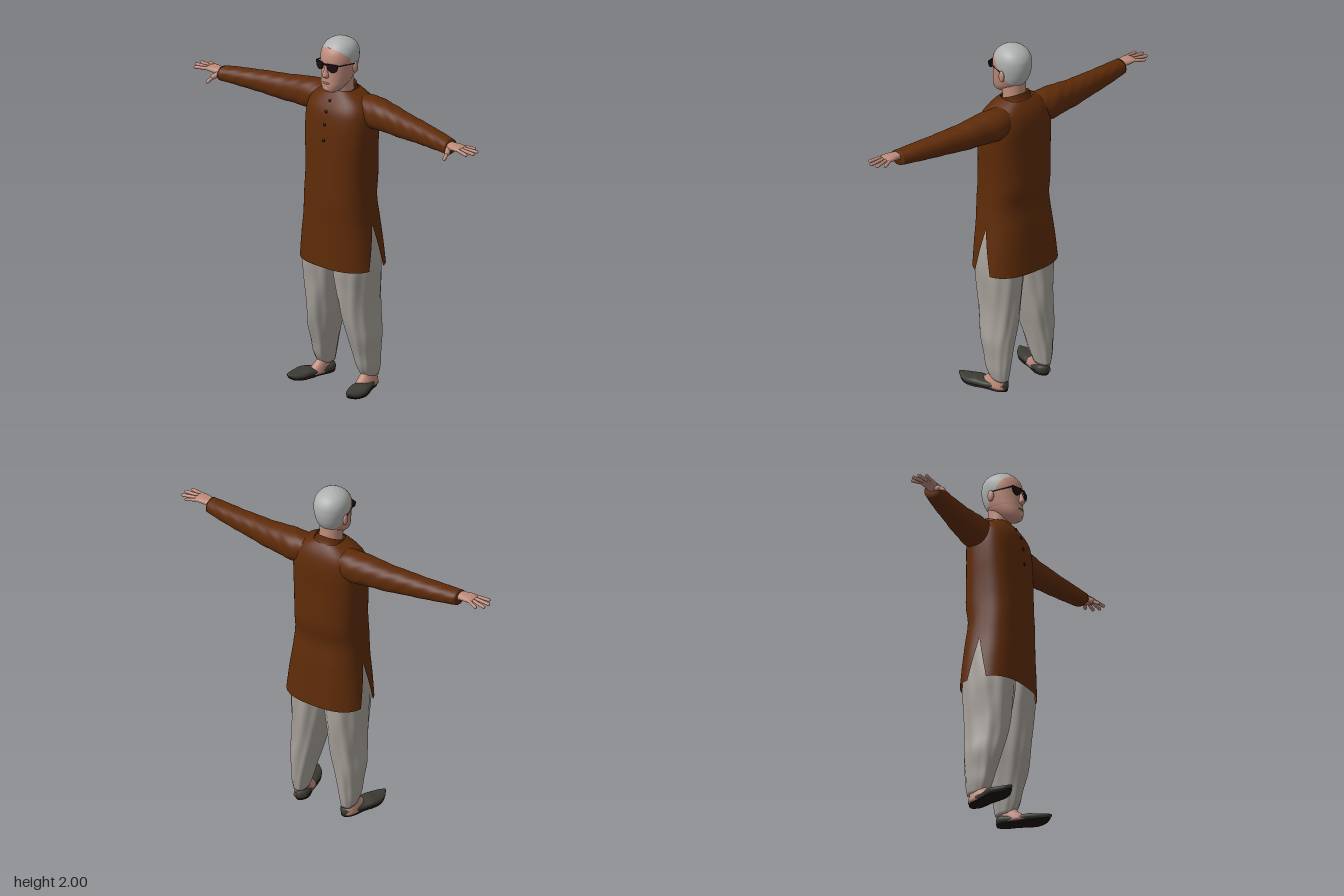
import * as THREE from 'three';
import { mergeGeometries, mergeVertices } from 'three/addons/utils/BufferGeometryUtils.js';

const mat = (name, color, side = THREE.FrontSide) => {
  const m = new THREE.MeshStandardMaterial({ color, side });
  m.name = name;
  return m;
};

// Piecewise linear lookup in [[key, value], ...]
const lin = (tab, k) => {
  if (k <= tab[0][0]) return tab[0][1];
  for (let i = 1; i < tab.length; i++) {
    const [a, va] = tab[i - 1], [b, vb] = tab[i];
    if (k <= b) return va + (vb - va) * (k - a) / (b - a);
  }
  return tab[tab.length - 1][1];
};

// Smooth lookup in rows of [key, x0, x1, zFront, zBack]
const sampler = (tab) => {
  const it = new THREE.CubicInterpolant(tab.map(r => r[0]), new Float32Array(tab.flatMap(r => r.slice(1))), 4);
  return (k) => Array.from(it.evaluate(k));
};
const sym = (tab) => tab.map(([k, w, f, b]) => [k, -w, w, f, b]);

// Rounded cross-sections stacked along y; 'split' keeps only the part in front of or behind a z line
function loft(tab, { n = 2.2, rows = 24, seg = 40, from = tab[0][0], split, back = false, fold, lift, cap = true } = {}) {
  const at = sampler(tab), end = tab[tab.length - 1][0];
  const pos = [], idx = [], ends = [];
  const pw = (v, e) => Math.sign(v) * Math.abs(v) ** e;
  for (let i = 0; i <= rows; i++) {
    const k = from + (end - from) * i / rows;
    const [x0, x1, zf, zb] = at(k);
    const cx = (x0 + x1) / 2, rx = (x1 - x0) / 2, cz = (zf + zb) / 2, rz = (zf - zb) / 2;
    let a = 0, b = Math.PI * 2;
    if (split) {
      const t0 = Math.asin(pw(THREE.MathUtils.clamp((split(k) - cz) / rz, -1, 1), n / 2));
      [a, b] = back ? [Math.PI - t0, Math.PI * 2 + t0] : [t0, Math.PI - t0];
    }
    for (let j = 0; j <= seg; j++) {
      const t = a + (b - a) * j / seg;
      const s = 1 + (fold ? fold(t, k) : 0);
      const z = cz + rz * s * pw(Math.sin(t), 2 / n);
      pos.push(cx + rx * s * pw(Math.cos(t), 2 / n), k + (lift ? lift(z) : 0), z);
    }
    ends.push([cx, k, cz]);
  }
  const w = seg + 1;
  for (let i = 0; i < rows; i++) for (let j = 0; j < seg; j++) {
    const a = i * w + j, b = a + w;
    idx.push(a, b, a + 1, a + 1, b, b + 1);
  }
  if (cap) {
    const c = pos.length / 3, top = rows * w;
    pos.push(...ends[0], ...ends[rows]);
    for (let j = 0; j < seg; j++) idx.push(c, j, j + 1, c + 1, top + j + 1, top + j);
  }
  const g = new THREE.BufferGeometry();
  g.setAttribute('position', new THREE.Float32BufferAttribute(pos, 3));
  g.setIndex(idx);
  return smooth(g);
}
function smooth(g) {
  const m = mergeVertices(g, 1e-5);
  m.computeVertexNormals();
  return m;
}

export function createModel() {
  const model = new THREE.Group();
  model.name = 'standingMan';
  const skin = mat('skin', 0xbd8b7a), hair = mat('hair', 0xadb0ae), brown = mat('brownCloth', 0x5e2b08, THREE.DoubleSide);
  const cloth = mat('greyCloth', 0xa6a099, THREE.DoubleSide), leather = mat('shoeLeather', 0x3b3a33), sole = mat('sole', 0x1c1012);
  const dark = mat('darkGlass', 0x1a0c10), button = mat('button', 0x1d120d), lip = mat('lip', 0x9c6a5e);
  const add = (parent, name, geo, m, x = 0, y = 0, z = 0) => {
    const mesh = new THREE.Mesh(geo, m);
    mesh.name = name;
    mesh.position.set(x, y, z);
    parent.add(mesh);
    return mesh;
  };
  // Rod between two points
  const rod = (parent, name, a, b, r, m) => {
    const p = new THREE.Vector3(...a), d = new THREE.Vector3(...b).sub(p);
    const mesh = add(parent, name, new THREE.CapsuleGeometry(r, d.length(), 4, 10), m);
    mesh.position.copy(p).addScaledVector(d, 0.5);
    mesh.quaternion.setFromUnitVectors(new THREE.Vector3(0, 1, 0), d.normalize());
    return mesh;
  };
  const ball = (parent, name, m, p, s) => add(parent, name, new THREE.SphereGeometry(1, 20, 14), m, ...p).scale.set(...s);

  // Long shirt: front and back halves joined above the side slits
  const shirtRows = sym([[0.71, 0.24, 0.155, -0.19], [0.85, 0.225, 0.155, -0.18], [0.97, 0.208, 0.155, -0.17],
    [1.1, 0.198, 0.156, -0.154], [1.2, 0.195, 0.152, -0.168], [1.32, 0.198, 0.147, -0.165], [1.45, 0.205, 0.14, -0.16],
    [1.55, 0.205, 0.13, -0.158], [1.61, 0.195, 0.115, -0.15], [1.65, 0.17, 0.092, -0.137], [1.68, 0.13, 0.072, -0.12], [1.705, 0.08, 0.05, -0.1]]);
  const shirtOpts = { n: 2.6, rows: 48, cap: false };
  const slit = (z) => (y) => lin([[0.71, z], [0.96, -0.015]], y);
  add(model, 'shirt', smooth(mergeGeometries([
    loft(shirtRows, { ...shirtOpts, split: slit(0.04) }),
    loft(shirtRows, { ...shirtOpts, split: slit(-0.075), back: true })])), brown);
  add(model, 'collar', loft(sym([[1.65, 0.098, 0.07, -0.1], [1.675, 0.084, 0.062, -0.09], [1.708, 0.08, 0.058, -0.082]]),
    { rows: 8, cap: false, lift: z => -0.4 * z }), brown);
  const shirtAt = sampler(shirtRows);
  for (const y of [1.655, 1.6, 1.53, 1.44]) ball(model, 'button', button, [0, y, shirtAt(y)[2] + 0.002], [0.009, 0.009, 0.006]);

  // Neck and head, divided along the hairline
  add(model, 'neck', loft(sym([[1.62, 0.066, 0.035, -0.08], [1.7, 0.062, 0.05, -0.075], [1.8, 0.062, 0.07, -0.07]]), { rows: 8 }), skin);
  const headRows = sym([[1.708, 0.028, 0.105, 0.05], [1.72, 0.046, 0.12, 0.02], [1.745, 0.064, 0.126, -0.02], [1.78, 0.077, 0.124, -0.066],
    [1.82, 0.085, 0.121, -0.092], [1.86, 0.091, 0.119, -0.104], [1.9, 0.095, 0.118, -0.107], [1.94, 0.09, 0.105, -0.099],
    [1.97, 0.072, 0.08, -0.076], [1.987, 0.048, 0.055, -0.047], [1.996, 0.026, 0.034, -0.02], [2, 0.004, 0.012, 0.004]]);
  const hairline = (y) => lin([[1.77, -0.2], [1.785, -0.06], [1.83, -0.02], [1.85, 0.008], [1.9, 0.03], [1.935, 0.065], [1.955, 0.088], [1.965, 0.2]], y);
  const headOpts = { n: 2.15, rows: 56, seg: 48, split: hairline };
  add(model, 'face', loft(headRows, headOpts), skin);
  add(model, 'hair', loft(headRows, { ...headOpts, from: 1.772, back: true }), hair);
  add(model, 'nose', loft(sym([[1.793, 0.01, 0.122, 0.1], [1.803, 0.018, 0.139, 0.1], [1.814, 0.018, 0.144, 0.1],
    [1.835, 0.012, 0.137, 0.1], [1.875, 0.009, 0.122, 0.1]]), { rows: 16, seg: 24 }), skin);
  ball(model, 'lips', lip, [0, 1.766, 0.122], [0.026, 0.006, 0.007]);
  ball(model, 'chin', skin, [0, 1.735, 0.108], [0.03, 0.02, 0.02]);

  // Sunglasses
  const lens = new THREE.Shape();
  lens.moveTo(-0.031, 0.021);
  lens.lineTo(0.036, 0.021);
  lens.quadraticCurveTo(0.036, -0.022, 0.006, -0.027);
  lens.quadraticCurveTo(-0.03, -0.024, -0.031, 0.021);
  const lensGeo = new THREE.ExtrudeGeometry(lens, { depth: 0.006, bevelEnabled: false, curveSegments: 10 });
  add(model, 'glassesBridge', new THREE.BoxGeometry(0.03, 0.007, 0.006), dark, 0, 1.876, 0.131);

  const limbs = (name) => {
    const side = new THREE.Group();
    side.name = name;

    // Lens, temple and ear
    add(side, 'lens', lensGeo, dark, 0.04, 1.862, 0.119).rotation.y = 0.3;
    rod(side, 'glassesTemple', [0.076, 1.876, 0.106], [0.096, 1.865, -0.005], 0.003, dark);
    ball(side, 'ear', skin, [0.093, 1.842, -0.012], [0.011, 0.032, 0.019]);

    // Sleeve, lofted along the arm
    const sleeve = [[0.08, 1.675, 1.53, 0.02, -0.12], [0.2, 1.683, 1.512, 0.035, -0.135], [0.3, 1.672, 1.515, 0.035, -0.118],
      [0.4, 1.66, 1.517, 0.038, -0.1], [0.5, 1.65, 1.523, 0.045, -0.08], [0.6, 1.642, 1.53, 0.054, -0.062],
      [0.7, 1.632, 1.535, 0.066, -0.042], [0.8, 1.622, 1.542, 0.08, -0.016]].map(([x, t, b, f, k]) => [x, -t, -b, f, k]);
    add(side, 'sleeve', loft(sleeve, { rows: 60, fold: (t, x) => 0.022 * Math.sin(48 * x + 2 * t) * Math.sin(3 * t + 17 * x) })
      .rotateZ(-Math.PI / 2), brown);

    // Hand
    const palm = [[0.78, -1.612, -1.568, 0.06, 0.008], [0.82, -1.612, -1.576, 0.073, 0.005], [0.86, -1.612, -1.582, 0.08, 0.0],
      [0.89, -1.606, -1.586, 0.078, 0.002]];
    add(side, 'palm', loft(palm, { rows: 12, seg: 24, n: 2.5 }).rotateZ(-Math.PI / 2), skin);
    [[0.01, 0.928, -0.014], [0.03, 0.965, 0.012], [0.05, 0.972, 0.049], [0.069, 0.95, 0.084]]
      .forEach(([z0, x, z1]) => rod(side, 'finger', [0.872, 1.598, z0], [x, 1.592, z1], 0.0092, skin));
    rod(side, 'thumbBase', [0.8, 1.588, 0.05], [0.822, 1.57, 0.088], 0.015, skin);
    rod(side, 'thumb', [0.822, 1.57, 0.088], [0.832, 1.55, 0.122], 0.01, skin);

    // Draped trouser leg
    const leg = [[0.065, 0.118, 0.187, -0.01, -0.118], [0.12, 0.105, 0.2, 0.02, -0.126], [0.2, 0.088, 0.206, 0.042, -0.132],
      [0.3, 0.065, 0.216, 0.072, -0.138], [0.4, 0.042, 0.208, 0.095, -0.144], [0.5, 0.025, 0.206, 0.11, -0.15],
      [0.6, 0.01, 0.212, 0.12, -0.154], [0.7, -0.002, 0.217, 0.131, -0.156], [0.85, -0.005, 0.208, 0.128, -0.155], [0.98, -0.005, 0.188, 0.115, -0.14]];
    const drape = (t, y) => 0.022 * Math.sin(9 * t + 9 * y) + 0.014 * Math.sin(5 * t - 16 * y);
    add(side, 'trouserLeg', loft(leg, { rows: 60, seg: 90, n: 2.3, fold: drape }), cloth);

    // Ankle, shoe and sole
    add(side, 'ankle', loft([[0.015, 0.12, 0.2, 0.07, -0.11], [0.05, 0.122, 0.195, 0.045, -0.105],
      [0.08, 0.125, 0.185, 0.008, -0.1], [0.16, 0.122, 0.185, -0.01, -0.1]], { rows: 10 }), skin);
    const foot = new THREE.Group();
    foot.name = 'shoe';
    foot.position.set(0.177, 0, 0.038);
    foot.rotation.y = 0.25;
    side.add(foot);
    // Rows of [length, inner, outer, bottom, top]
    const along = (rows) => loft(rows.map(([z, a, b, lo, hi]) => [z, a, b, -lo, -hi]), { rows: 32, seg: 28, n: 2.4 }).rotateX(Math.PI / 2);
    add(foot, 'shoeUpper', along([[-0.152, -0.012, 0.012, 0.012, 0.048], [-0.14, -0.032, 0.03, 0.006, 0.058], [-0.09, -0.042, 0.04, 0.006, 0.054],
      [-0.03, -0.044, 0.048, 0.006, 0.046], [0.03, -0.048, 0.06, 0.006, 0.054], [0.08, -0.046, 0.056, 0.006, 0.046],
      [0.125, -0.03, 0.034, 0.012, 0.044], [0.153, -0.006, 0.008, 0.032, 0.044]]), leather);
    add(foot, 'shoeSole', along([[-0.148, -0.016, 0.016, 0, 0.014], [-0.13, -0.034, 0.032, 0, 0.014], [-0.03, -0.04, 0.045, 0, 0.014],
      [0.03, -0.046, 0.057, 0, 0.014], [0.08, -0.043, 0.052, 0, 0.014], [0.125, -0.026, 0.029, 0.006, 0.02], [0.143, -0.01, 0.012, 0.018, 0.026]]), sole);
    return side;
  };
  const left = limbs('leftSide'), right = limbs('rightSide');
  right.scale.x = -1;
  model.add(left, right);
  return model;
}
